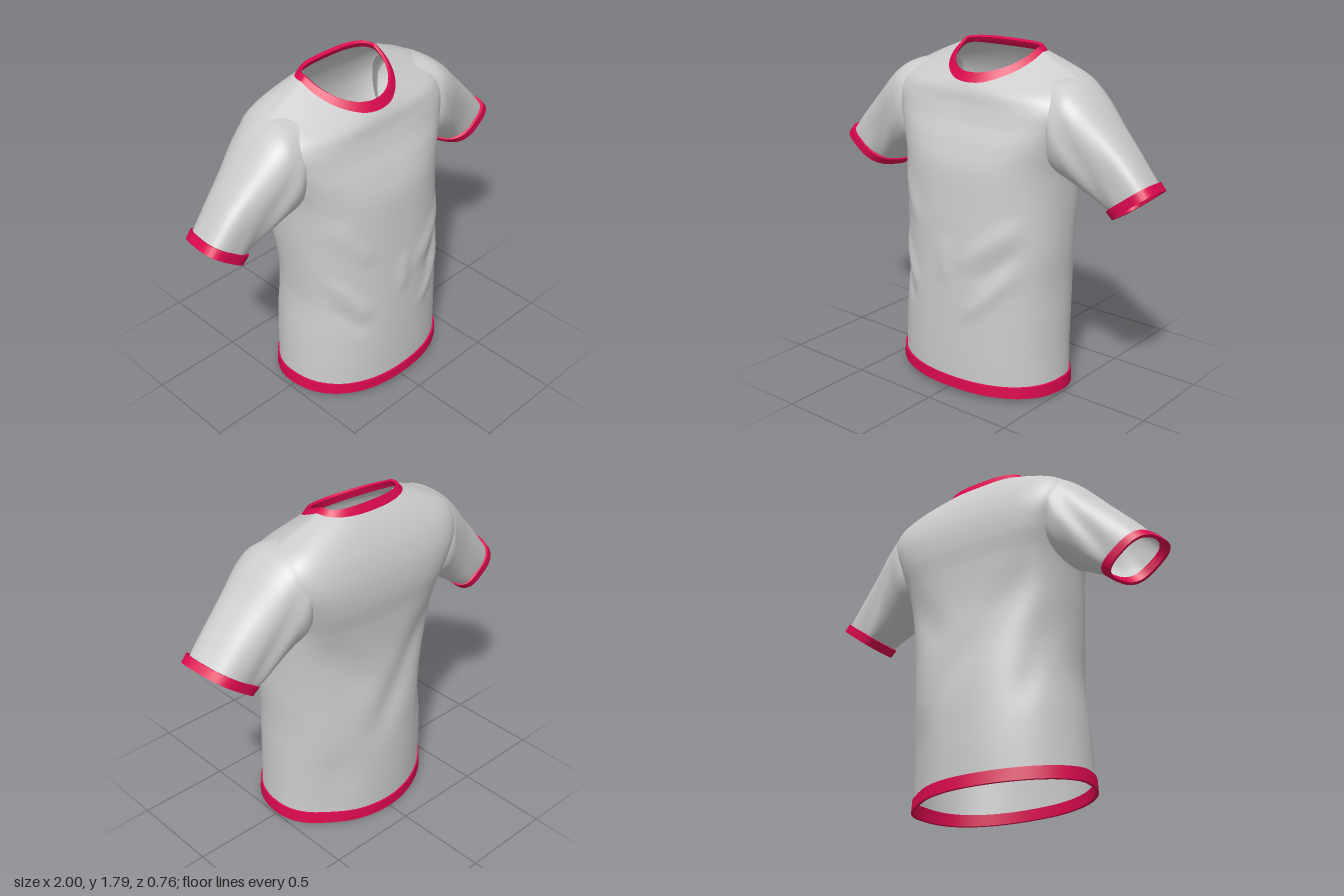
import * as THREE from 'three';
import { toCreasedNormals } from 'three/addons/utils/BufferGeometryUtils.js';

const CLOTH = new THREE.MeshStandardMaterial({ color: 0xcccccc, side: THREE.DoubleSide });
const TRIM = new THREE.MeshStandardMaterial({ color: 0xdc0a4e, side: THREE.DoubleSide });
const SEG = 120;

// Skin a list of closed rings of points; wrap joins the last ring to the first
function loft(rings, wrap = false) {
  const pos = [], idx = [], n = rings[0].length, rows = rings.length;
  for (const ring of rings) for (const p of ring) pos.push(p.x, p.y, p.z);
  for (let j = 0; j < (wrap ? rows : rows - 1); j++) {
    for (let i = 0; i < n; i++) {
      const a = j * n + i, b = j * n + (i + 1) % n;
      const c = ((j + 1) % rows) * n + i, d = ((j + 1) % rows) * n + (i + 1) % n;
      idx.push(a, c, b, b, c, d);
    }
  }
  const g = new THREE.BufferGeometry();
  g.setAttribute('position', new THREE.Float32BufferAttribute(pos, 3));
  g.setIndex(idx);
  g.computeVertexNormals();
  return g;
}

function mesh(name, geometry, material) {
  const m = new THREE.Mesh(geometry, material);
  m.name = name;
  return m;
}

// Smooth interpolation through rows of section parameters
function sample(rows, t) {
  const f = t * (rows.length - 1), i = Math.min(Math.floor(f), rows.length - 2), u = f - i;
  const at = (k) => rows[Math.max(0, Math.min(rows.length - 1, k))];
  return rows[0].map((_, c) => {
    const p0 = at(i - 1)[c], p1 = at(i)[c], p2 = at(i + 1)[c], p3 = at(i + 2)[c];
    return p1 + 0.5 * u * (p2 - p0 + u * (2 * p0 - 5 * p1 + 4 * p2 - p3 + u * (3 * (p1 - p2) + p3 - p0)));
  });
}

// Unit superellipse point in the direction of angle a; e = 1 is a circle, smaller is boxier
function rounded(a, e) {
  const c = Math.cos(a), s = Math.sin(a);
  const r = (Math.abs(c) ** (2 / e) + Math.abs(s) ** (2 / e)) ** (-e / 2);
  return [c * r, s * r];
}
const around = (fn) => Array.from({ length: SEG }, (_, i) => fn((i / SEG) * Math.PI * 2));

// Torso section: half width, side z, front z, back z, side y, front y, back y, front and back roundness
function bodyRing([w, zs, zf, zb, ys, yf, yb, ef, eb]) {
  return around((a) => {
    const front = a < Math.PI;
    const [c, s] = rounded(a, front ? ef : eb), k = Math.abs(s);
    return new THREE.Vector3(
      w * c, ys + ((front ? yf : yb) - ys) * k, zs + ((front ? zf : zb) - zs) * k);
  });
}

const BODY = [
  [0.488, 0, 0.37, -0.365, 0.045, 0.05, 0.02, 0.9, 1.05],
  [0.480, 0, 0.372, -0.37, 0.22, 0.22, 0.2, 0.9, 1.03],
  [0.472, 0, 0.37, -0.37, 0.4, 0.4, 0.4, 0.9, 1],
  [0.460, 0, 0.365, -0.365, 0.6, 0.6, 0.6, 0.9, 0.95],
  [0.467, 0, 0.355, -0.35, 0.8, 0.8, 0.8, 0.9, 0.9],
  [0.475, -0.02, 0.343, -0.338, 1.0, 1.0, 1.0, 0.9, 0.8],
  [0.484, -0.04, 0.325, -0.348, 1.2, 1.2, 1.2, 0.85, 0.66],
  [0.512, -0.05, 0.285, -0.365, 1.34, 1.33, 1.34, 0.75, 0.54],
  [0.550, -0.06, 0.24, -0.362, 1.46, 1.43, 1.46, 0.68, 0.48],
  [0.565, -0.07, 0.213, -0.338, 1.56, 1.51, 1.56, 0.66, 0.5],
  [0.520, -0.08, 0.2, -0.305, 1.64, 1.57, 1.635, 0.74, 0.55],
  [0.400, -0.09, 0.185, -0.265, 1.702, 1.605, 1.7, 0.88, 0.6],
  [0.255, -0.1, 0.165, -0.218, 1.765, 1.635, 1.76, 1, 0.72],
];

// Cloth folds: side, start x, y, end x, y, width, depth
const FOLDS = [
  [1, -0.42, 0.8, -0.22, 0.5, 0.035, 0.018], [1, -0.4, 0.62, -0.25, 0.42, 0.03, -0.014],
  [1, 0.38, 0.72, 0.1, 0.42, 0.04, 0.012], [1, 0.42, 0.98, 0.05, 0.7, 0.05, 0.012],
  [1, 0.4, 0.85, 0.15, 0.62, 0.04, -0.012], [1, -0.4, 1.15, -0.2, 0.85, 0.05, 0.012],
  [1, 0.0, 0.85, -0.02, 0.6, 0.04, 0.01], [-1, -0.4, 1.2, 0.15, 0.45, 0.09, -0.02],
  [-1, 0.4, 1.2, 0.1, 0.75, 0.08, -0.014], [-1, 0.36, -0.1, 0.3, 0.5, 0.1, -0.018],
  [-1, -0.45, 0.95, -0.3, 0.35, 0.06, -0.014],
];

function addFolds(p) {
  const side = p.z > 0 ? 1 : -1;
  const fade = Math.min(1, Math.abs(p.z) / 0.12);
  for (const [s, x0, y0, x1, y1, width, depth] of FOLDS) {
    if (s !== side) continue;
    const dx = x1 - x0, dy = y1 - y0, len = Math.hypot(dx, dy);
    const along = ((p.x - x0) * dx + (p.y - y0) * dy) / len / len - 0.5;
    const across = ((p.x - x0) * dy - (p.y - y0) * dx) / len / width;
    p.z += side * fade * depth * Math.exp(-across * across - (along / 0.4) ** 4);
  }
  // the waist hangs a little to one side
  p.x += 0.014 * Math.exp(-(((p.y - 0.68) / 0.3) ** 2));
}

// Sleeve section: top x, y, bottom x, y, back z, front z; the outer end leans back at the top
function sleeveRing([tx, ty, bx, by, zb, zf], sx) {
  const cx = (tx + bx) / 2, cy = (ty + by) / 2;
  const outer = Math.max(0, Math.min(1, (tx - 0.5) / 0.4));
  return around((a) => {
    const [u, v] = rounded(a, 0.8 - 0.12 * outer), s = -sx * v;
    const c = (u + 0.22 * outer * s) * (1 - 0.08 * outer);
    return new THREE.Vector3(
      sx * (cx + (tx - cx) * c), cy + (ty - cy) * c, (zb + zf) / 2 + s * (zf - zb) / 2);
  });
}

const SLEEVE = [
  [0.36, 1.67, 0.40, 1.27, -0.25, 0.10],
  [0.50, 1.656, 0.46, 1.2, -0.3, 0.152],
  [0.60, 1.600, 0.53, 1.155, -0.28, 0.143],
  [0.73, 1.47, 0.60, 1.105, -0.25, 0.108],
  [0.86, 1.335, 0.66, 1.065, -0.23, 0.08],
  [0.968, 1.208, 0.732, 1.025, -0.213, 0.068],
];

// Trim band: a closed strip around four corner rings
const band = (name, rings) => mesh(name, toCreasedNormals(loft(rings, true), 0.8), TRIM);

export function createModel() {
  const shirt = new THREE.Group();
  shirt.name = 'shirt';

  // Torso with draped folds
  const rows = 90;
  const rings = Array.from({ length: rows + 1 }, (_, j) => bodyRing(sample(BODY, j / rows)));
  rings.forEach((ring) => ring.forEach(addFolds));
  shirt.add(mesh('torso', loft(rings), CLOTH));

  // Bottom hem, slightly lower on one side
  const hem = [
    bodyRing([0.484, 0, 0.366, -0.36, 0.027, 0.032, 0.0, 0.9, 1.05]),
    bodyRing([0.500, 0, 0.382, -0.375, 0.027, 0.032, 0.0, 0.9, 1.05]),
    bodyRing([0.496, 0, 0.38, -0.374, 0.095, 0.09, 0.062, 0.9, 1.05]),
    bodyRing([0.478, 0, 0.364, -0.36, 0.095, 0.09, 0.062, 0.9, 1.05]),
  ];
  for (const ring of hem) {
    for (const p of ring) {
      addFolds(p);
      p.y -= 0.06 * p.x * Math.abs(p.x);
    }
  }
  shirt.add(band('hem', hem));

  // Collar
  shirt.add(band('collar', [
    bodyRing([0.245, -0.1, 0.155, -0.205, 1.745, 1.615, 1.755, 1, 0.72]),
    bodyRing([0.270, -0.1, 0.180, -0.232, 1.755, 1.62, 1.74, 1, 0.72]),
    bodyRing([0.238, -0.1, 0.156, -0.212, 1.785, 1.668, 1.788, 1, 0.72]),
    bodyRing([0.226, -0.1, 0.142, -0.194, 1.778, 1.662, 1.78, 1, 0.72]),
  ]));

  // Sleeves and their cuffs
  for (const [sx, side] of [[1, 'left'], [-1, 'right']]) {
    const tube = Array.from({ length: 41 }, (_, j) => {
      const ring = sleeveRing(sample(SLEEVE, j / 40), sx);
      // soft creases where the underarm bunches up
      for (const p of ring) {
        const d = Math.abs(p.x) + 0.6 * (p.y - 1.3), depth = p.z + 0.07;
        p.z += 0.005 * Math.sin(d * 36) * Math.exp(-(((d - 0.6) / 0.12) ** 2))
          * Math.max(-1, Math.min(1, depth / 0.1));
      }
      return ring;
    });
    shirt.add(mesh(side + 'Sleeve', loft(tube), CLOTH));
    shirt.add(band(side + 'Cuff', [
      sleeveRing([0.950, 1.210, 0.722, 1.047, -0.206, 0.062], sx),
      sleeveRing([0.971, 1.228, 0.708, 1.028, -0.225, 0.083], sx),
      sleeveRing([1.002, 1.192, 0.745, 0.995, -0.221, 0.082], sx),
      sleeveRing([0.985, 1.18, 0.757, 1.007, -0.207, 0.066], sx),
    ]));
  }
  return shirt;
}
